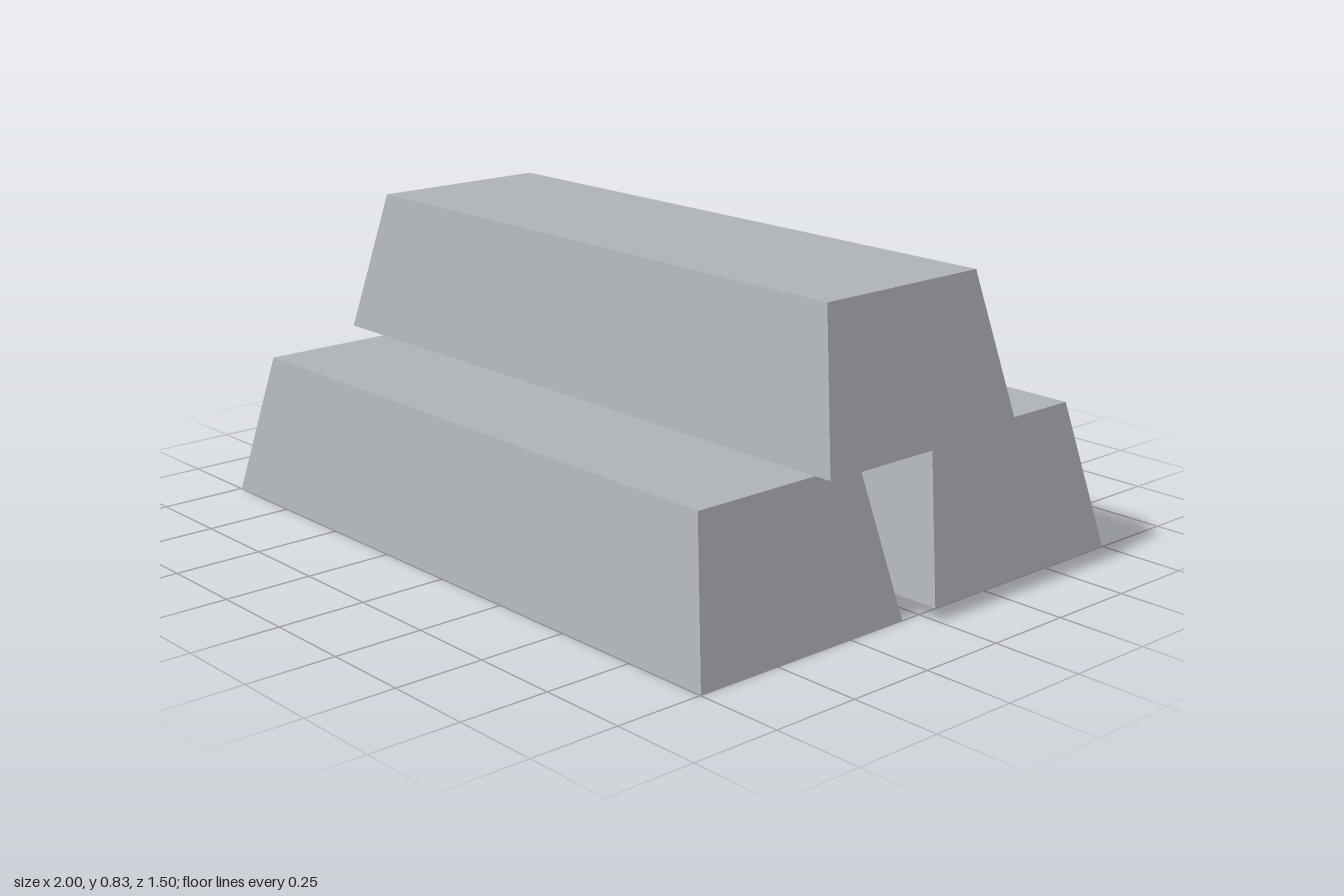
import * as THREE from 'three';

const HEIGHT = 0.407;
const BASE_DEPTH = 0.686;
const TOP_X = 0.907; // top length relative to base
const TOP_Z = 0.787; // top depth relative to base

// Box whose top face is drawn in to make a tapered ingot standing on y = 0
function createIngotGeometry() {
  const geometry = new THREE.BoxGeometry(2, HEIGHT, BASE_DEPTH);
  geometry.translate(0, HEIGHT / 2, 0);
  const p = geometry.attributes.position;
  for (let i = 0; i < p.count; i++) {
    if (p.getY(i) > HEIGHT / 2) {
      p.setX(i, p.getX(i) * TOP_X);
      p.setZ(i, p.getZ(i) * TOP_Z);
    }
  }
  geometry.computeVertexNormals();
  return geometry;
}

export function createModel() {
  const group = new THREE.Group();
  group.name = 'ingotStack';
  const metal = new THREE.MeshStandardMaterial({ color: 0xaeb2b7 });
  metal.name = 'silver metal';
  const geometry = createIngotGeometry();

  // Two ingots side by side, one resting just above the gap
  const ingots = [
    ['frontIngot', 0, 0.405],
    ['backIngot', 0, -0.405],
    ['topIngot', 0.427, -0.01],
  ];
  for (const [name, y, z] of ingots) {
    const ingot = new THREE.Mesh(geometry, metal);
    ingot.name = name;
    ingot.position.set(0, y, z);
    group.add(ingot);
  }
  return group;
}
